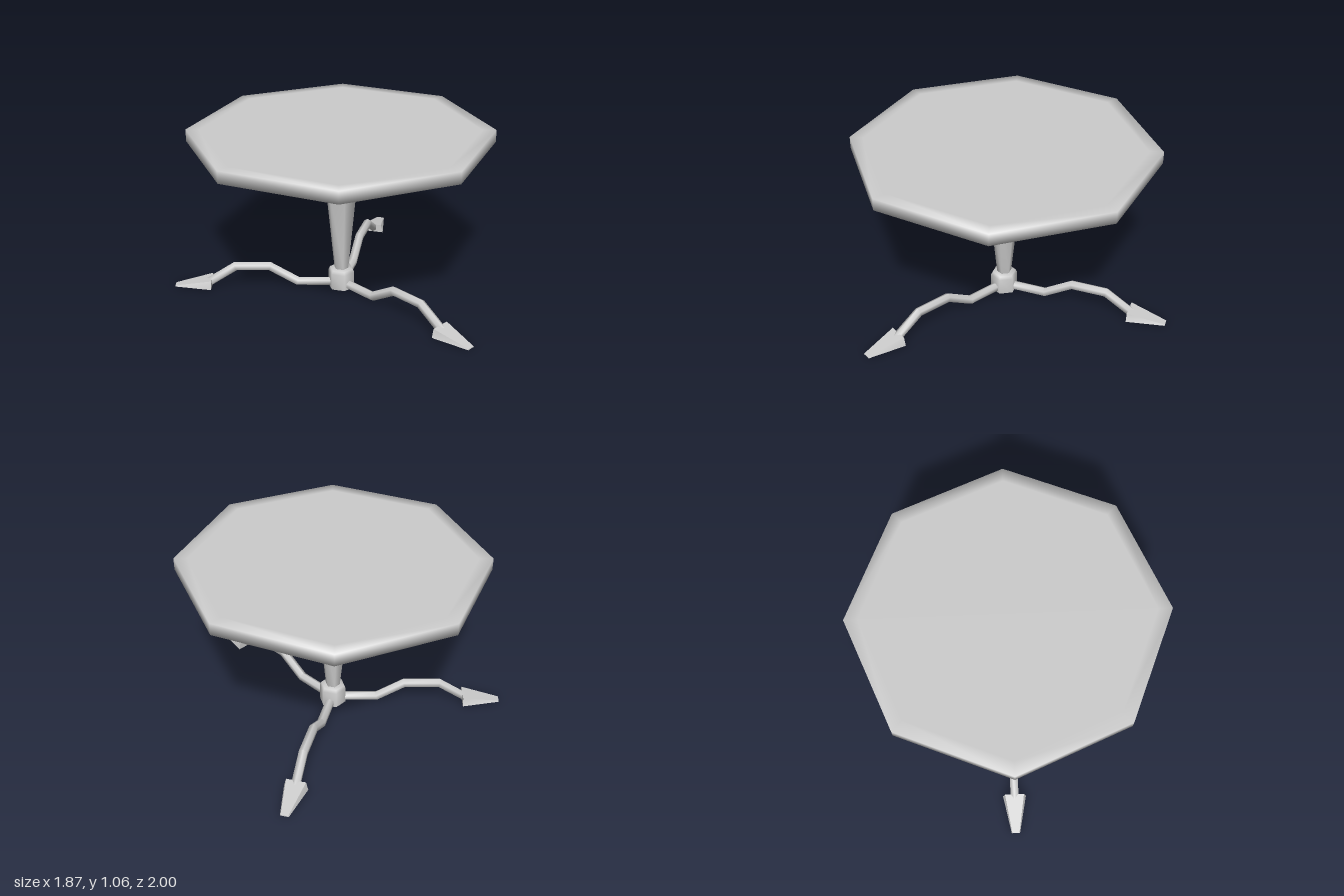
import * as THREE from 'three';
import { toCreasedNormals } from 'three/addons/utils/BufferGeometryUtils.js';

const material = new THREE.MeshStandardMaterial({ color: 0xcccccc });
const CREASE = 1.1; // keeps six-sided parts smooth around, profile edges sharp

function addMesh(parent, name, geometry) {
  const mesh = new THREE.Mesh(geometry, material);
  mesh.name = name;
  parent.add(mesh);
  return mesh;
}

// Turned part from [radius, height] pairs, listed bottom to top
function turned(profile, sides, start = 0) {
  return new THREE.LatheGeometry(profile.map(([r, y]) => new THREE.Vector2(r, y)), sides, start);
}

// Skin over equal-length rings of points, capped at both ends
function loft(rings) {
  const n = rings[0].length;
  const index = [];
  for (let i = 0; i < rings.length - 1; i++) {
    for (let j = 0; j < n; j++) {
      const a = i * n + j, b = i * n + (j + 1) % n;
      index.push(a, b, a + n, b, b + n, a + n);
    }
  }
  const last = (rings.length - 1) * n;
  for (let j = 1; j < n - 1; j++) {
    index.push(0, j + 1, j, last, last + j, last + j + 1);
  }
  const geometry = new THREE.BufferGeometry();
  geometry.setAttribute('position', new THREE.Float32BufferAttribute(rings.flat(2), 3));
  geometry.setIndex(index);
  return geometry;
}

// Six-sided bar along a path in the z-y plane, mitred at every bend
function bar(path, radius) {
  const points = path.map(([z, y]) => new THREE.Vector2(z, y));
  const rings = points.map((p, i) => {
    const before = p.clone().sub(points[Math.max(i - 1, 0)]).normalize();
    const after = points[Math.min(i + 1, points.length - 1)].clone().sub(p).normalize();
    const along = before.clone().add(after).normalize();
    const ref = i === 0 ? after : before;
    const stretch = radius / along.dot(ref);
    return Array.from({ length: 6 }, (_, k) => {
      const a = k * Math.PI / 3;
      const up = Math.cos(a) * stretch;
      return [-Math.sin(a) * radius, p.y + along.x * up, p.x - along.y * up];
    });
  });
  return toCreasedNormals(loft(rings), CREASE);
}

// Wedge foot section: flat on the floor, narrower on top
function footSection(z, bottom, top, height) {
  return [[-bottom, 0.003, z], [bottom, 0.003, z], [top, height, z], [-top, height, z]];
}

export function createModel() {
  const table = new THREE.Group();
  table.name = 'pedestalTable';
  table.position.z = -0.065;

  // Eight-sided top with a softly shaded rim
  addMesh(table, 'tableTop', turned(
    [[0, 0.985], [0.85, 0.985], [0.932, 0.985], [0.932, 1.06], [0.85, 1.06], [0, 1.06]], 8));

  // Six-sided column: hub, tapered shaft, two collars and a flared cap
  const column = turned([
    [0, 0.003], [0.085, 0.003], [0.085, 0.11], [0.075, 0.13], [0.046, 0.135],
    [0.1, 0.69], [0.078, 0.695], [0.105, 0.725], [0.12, 0.805], [0.08, 0.815],
    [0.11, 0.885], [0.085, 0.905], [0.113, 0.913], [0.14, 0.985],
  ], 6, Math.PI / 2);
  addMesh(table, 'column', toCreasedNormals(column, CREASE));

  // Three bent legs with wedge feet
  const legGeometry = bar(
    [[0.03, 0.033], [0.28, 0.033], [0.455, 0.138], [0.675, 0.138], [0.85, 0.025]], 0.029);
  const footGeometry = toCreasedNormals(loft([
    footSection(0.83, 0.073, 0.06, 0.058),
    footSection(1.065, 0.026, 0.022, 0.009),
  ]), 0.6);
  for (const [name, degrees] of [['front', 0], ['left', 120], ['right', 225]]) {
    const leg = new THREE.Group();
    leg.name = name + 'Leg';
    leg.rotation.y = THREE.MathUtils.degToRad(degrees);
    addMesh(leg, name + 'LegBar', legGeometry);
    addMesh(leg, name + 'Foot', footGeometry);
    table.add(leg);
  }

  const model = new THREE.Group();
  model.name = 'model';
  model.add(table);
  return model;
}
